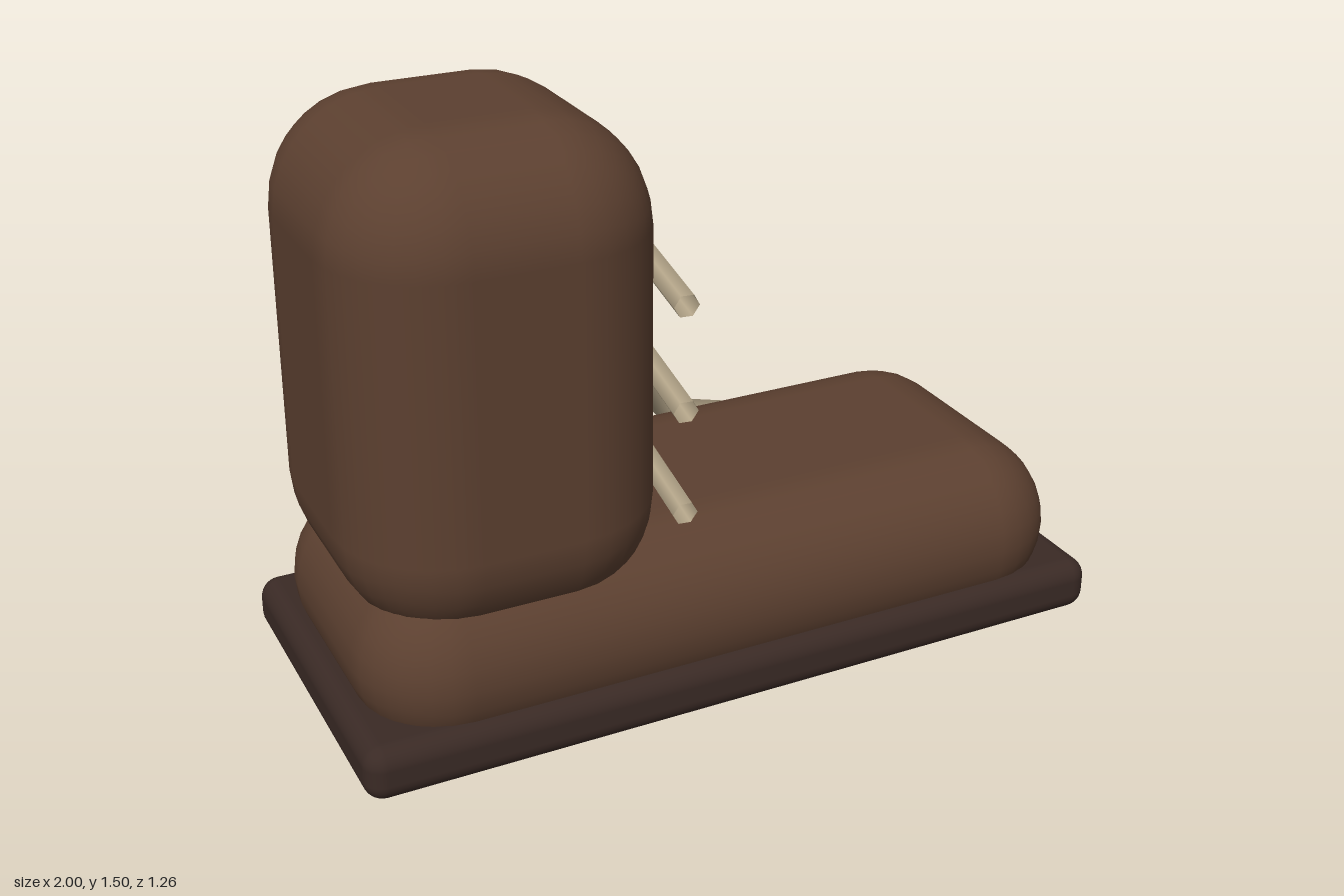
import * as THREE from 'three';
import { RoundedBoxGeometry } from 'three/addons/geometries/RoundedBoxGeometry.js';

const MID_Z = 0.18; // centre line of the boot

// Polyline with mitred corners: one tube ring per point
class BentPath extends THREE.Curve {
  constructor(points) {
    super();
    this.points = points.map((p) => new THREE.Vector3(...p));
  }
  getPoint(t, target = new THREE.Vector3()) {
    const n = this.points.length - 1;
    const i = Math.min(Math.floor(t * n), n - 1);
    return target.lerpVectors(this.points[i], this.points[i + 1], t * n - i);
  }
  getPointAt(t, target) {
    return this.getPoint(t, target);
  }
  getTangentAt(t, target = new THREE.Vector3()) {
    const n = this.points.length - 1;
    const i = Math.round(t * n);
    const dir = (k) => this.points[k + 1].clone().sub(this.points[k]).normalize();
    return target.copy(dir(Math.max(i - 1, 0))).add(dir(Math.min(i, n - 1))).normalize();
  }
}

export function createModel() {
  const group = new THREE.Group();
  group.name = 'boot';
  const leather = new THREE.MeshStandardMaterial({ color: 0x5c4030 });
  const rubber = new THREE.MeshStandardMaterial({ color: 0x3a2a25 });
  const cord = new THREE.MeshStandardMaterial({ color: 0xb5a68a, side: THREE.DoubleSide });

  const add = (name, geometry, material) => {
    const mesh = new THREE.Mesh(geometry, material);
    mesh.name = name;
    group.add(mesh);
    return mesh;
  };
  const pad = (name, size, radius, x, y, material) =>
    add(name, new RoundedBoxGeometry(...size, 4, radius), material).position.set(x, y, MID_Z);
  const lace = (name, points) =>
    add(name, new THREE.TubeGeometry(new BentPath(points), points.length - 1, 0.031, 6), cord);

  // Sole, foot and shaft
  pad('sole', [2, 0.14, 0.9], 0.05, 0, 0.07, rubber);
  pad('foot', [1.91, 0.46, 0.865], 0.23, 0, 0.227, leather);
  pad('shaft', [0.785, 1.22, 0.84], 0.27, -0.565, 0.888, leather);

  // Three bent laces across the front of the shaft
  for (let i = 0; i < 3; i++) {
    const y = 0.54 + i * 0.264;
    lace('lace' + (i + 1), [
      [-0.175, y, MID_Z + 0.39],
      [-0.137, y + 0.042, MID_Z],
      [-0.175, y, MID_Z - 0.39],
    ]);
  }

  // Loose lace trailing to the ground
  lace('looseLace', [
    [-0.17, 1.055, -0.17],
    [0.26, 0.285, -0.43],
    [0.873, 0.053, -0.605],
  ]);

  return group;
}
